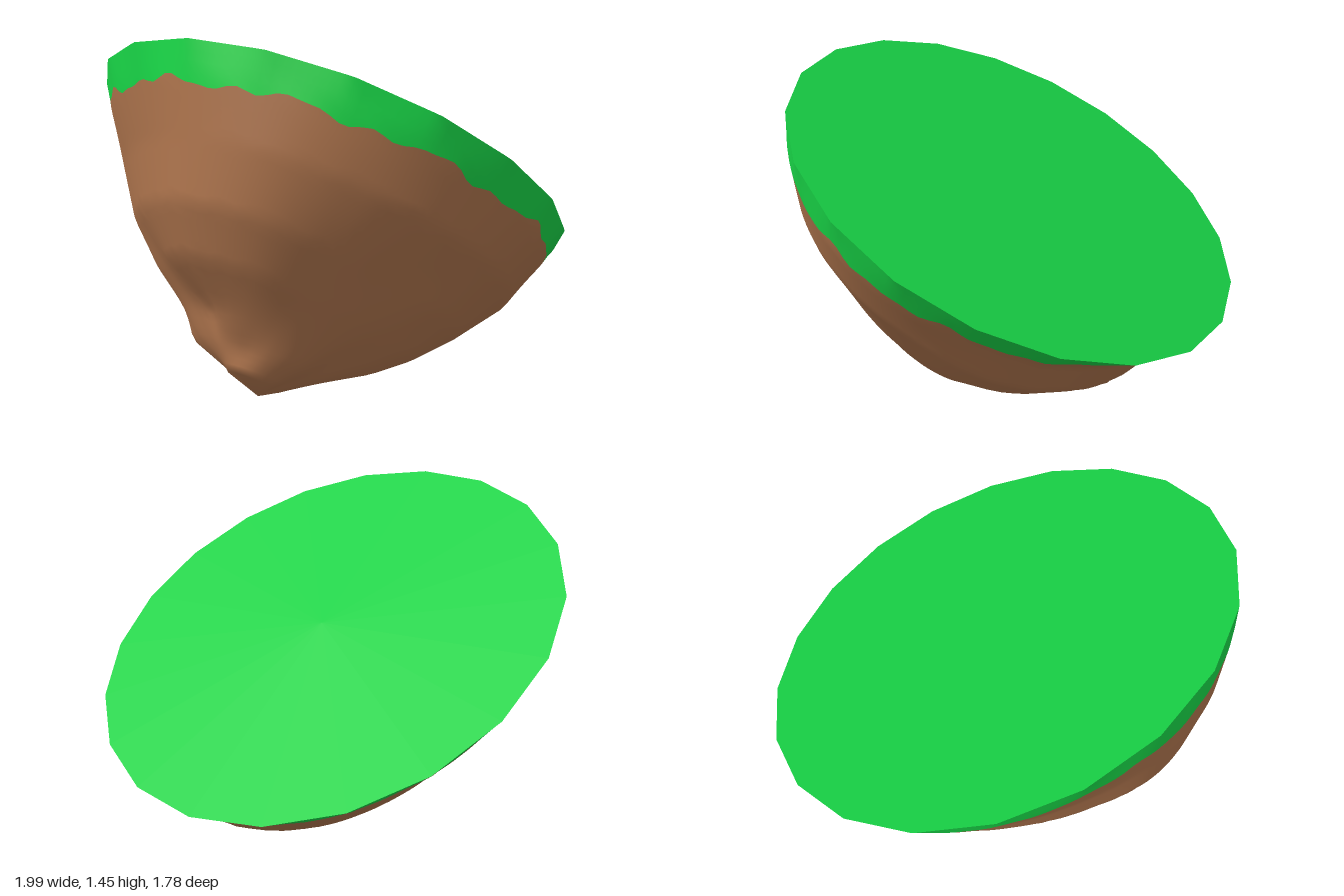
import * as THREE from 'three';

const SEG = 160, SIDES = 20, R = 1.02, START = THREE.MathUtils.degToRad(7);

// Rock radius for sixteen directions (every 22.5 degrees) at each depth below the turf
const DEPTHS = [0.12, 0.3, 0.5, 0.65, 0.76, 0.87, 0.96];
const RADII = [
  [0.97, 0.88, 0.73, 0.58, 0.44, 0.28, 0.13],
  [0.98, 0.88, 0.70, 0.53, 0.40, 0.27, 0.13],
  [0.97, 0.88, 0.66, 0.52, 0.41, 0.30, 0.17],
  [0.98, 0.88, 0.70, 0.54, 0.41, 0.28, 0.17],
  [0.97, 0.89, 0.76, 0.59, 0.40, 0.22, 0.16],
  [0.96, 0.86, 0.75, 0.58, 0.34, 0.20, 0.13],
  [0.94, 0.81, 0.69, 0.52, 0.27, 0.19, 0.10],
  [0.94, 0.80, 0.67, 0.48, 0.30, 0.20, 0.08],
  [0.94, 0.83, 0.69, 0.53, 0.37, 0.25, 0.06],
  [0.93, 0.82, 0.67, 0.50, 0.40, 0.33, 0.06],
  [0.92, 0.76, 0.60, 0.48, 0.40, 0.31, 0.07],
  [0.92, 0.78, 0.60, 0.48, 0.37, 0.22, 0.10],
  [0.93, 0.82, 0.64, 0.49, 0.36, 0.22, 0.13],
  [0.91, 0.86, 0.68, 0.48, 0.34, 0.21, 0.14],
  [0.92, 0.89, 0.74, 0.51, 0.35, 0.22, 0.14],
  [0.95, 0.91, 0.75, 0.60, 0.46, 0.27, 0.14],
];

const cubic = (a, b, c, d, t) =>
  b + 0.5 * t * (c - a + t * (2 * a - 5 * b + 4 * c - d + t * (3 * (b - c) + d - a)));

// Edge of the twenty-sided turf disc
function rimRadius(angle) {
  const step = 2 * Math.PI / SIDES;
  const local = (((angle - START) % step) + step) % step - step / 2;
  return R * Math.cos(step / 2) / Math.cos(local);
}

// Smooth around the rock, straight between depths
function radiusAt(angle, depth) {
  const n = RADII.length, f = angle / (2 * Math.PI) * n, k = Math.floor(f);
  const col = (j) => cubic(...[-1, 0, 1, 2].map((o) => RADII[(k + o + n) % n][j]), f - k);
  let j = 0;
  while (j < DEPTHS.length - 1 && depth > DEPTHS[j]) j++;
  const d0 = j ? DEPTHS[j - 1] : 0, r0 = j ? col(j - 1) : rimRadius(angle);
  return THREE.MathUtils.lerp(r0, col(j), (depth - d0) / (DEPTHS[j] - d0));
}

// Ragged lower edge of the turf, deepest at the front
function turfDepth(a) {
  return 0.1 + 0.032 * Math.sin(a) + 0.011 * Math.sin(11 * a) +
    0.008 * Math.sin(23 * a + 1) + 0.006 * Math.sin(37 * a + 2);
}

// Skin a stack of rings; depthOf(angle, t) gives the depth of each ring point
function loft(rows, depthOf, tip) {
  const pos = [], idx = [];
  for (let j = 0; j <= rows; j++) {
    for (let i = 0; i < SEG; i++) {
      const a = i / SEG * 2 * Math.PI, d = depthOf(a, j / rows), r = radiusAt(a, d);
      pos.push(r * Math.cos(a), -d, r * Math.sin(a));
    }
  }
  for (let j = 0; j < rows; j++) {
    for (let i = 0; i < SEG; i++) {
      const n = (i + 1) % SEG, a = j * SEG + i, b = j * SEG + n;
      idx.push(a, b, a + SEG, b, b + SEG, a + SEG);
    }
  }
  if (tip) {
    pos.push(...tip);
    const last = rows * SEG;
    for (let i = 0; i < SEG; i++) idx.push(last + i, last + (i + 1) % SEG, last + SEG);
  }
  const geo = new THREE.BufferGeometry();
  geo.setAttribute('position', new THREE.Float32BufferAttribute(pos, 3));
  geo.setIndex(idx);
  geo.computeVertexNormals();
  return geo;
}

export function createModel() {
  const grass = new THREE.MeshStandardMaterial({ name: 'grass green', color: 0x18d346 });
  const earth = new THREE.MeshStandardMaterial({ name: 'earth brown', color: 0xac734c });
  const island = new THREE.Group();
  island.name = 'island';
  const add = (name, geo, mat) => {
    const mesh = new THREE.Mesh(geo, mat);
    mesh.name = name;
    island.add(mesh);
  };

  // Flat grassy top
  add('grassTop', new THREE.CircleGeometry(R, SIDES).rotateX(-Math.PI / 2).rotateY(-START), grass);
  // Turf hanging over the rim
  add('turfEdge', loft(4, (a, t) => t * turfDepth(a)), grass);
  // Tapering rock below, with a main tip and a smaller lobe beside it
  add('rock', loft(32, (a, t) => THREE.MathUtils.lerp(turfDepth(a), 0.96, t), [0.05, -1.0, -0.07]), earth);

  // Tilt the whole island: high at the front, low at the back left
  const right = new THREE.Vector3(1, -0.259, 0).normalize();
  const up = new THREE.Vector3(0.259, 1, -0.624).normalize();
  const front = new THREE.Vector3().crossVectors(right, up);
  island.quaternion.setFromRotationMatrix(new THREE.Matrix4().makeBasis(right, up, front));
  island.position.set(0, 0.887, -0.025);

  const model = new THREE.Group();
  model.name = 'tiltedIsland';
  model.add(island);
  return model;
}
